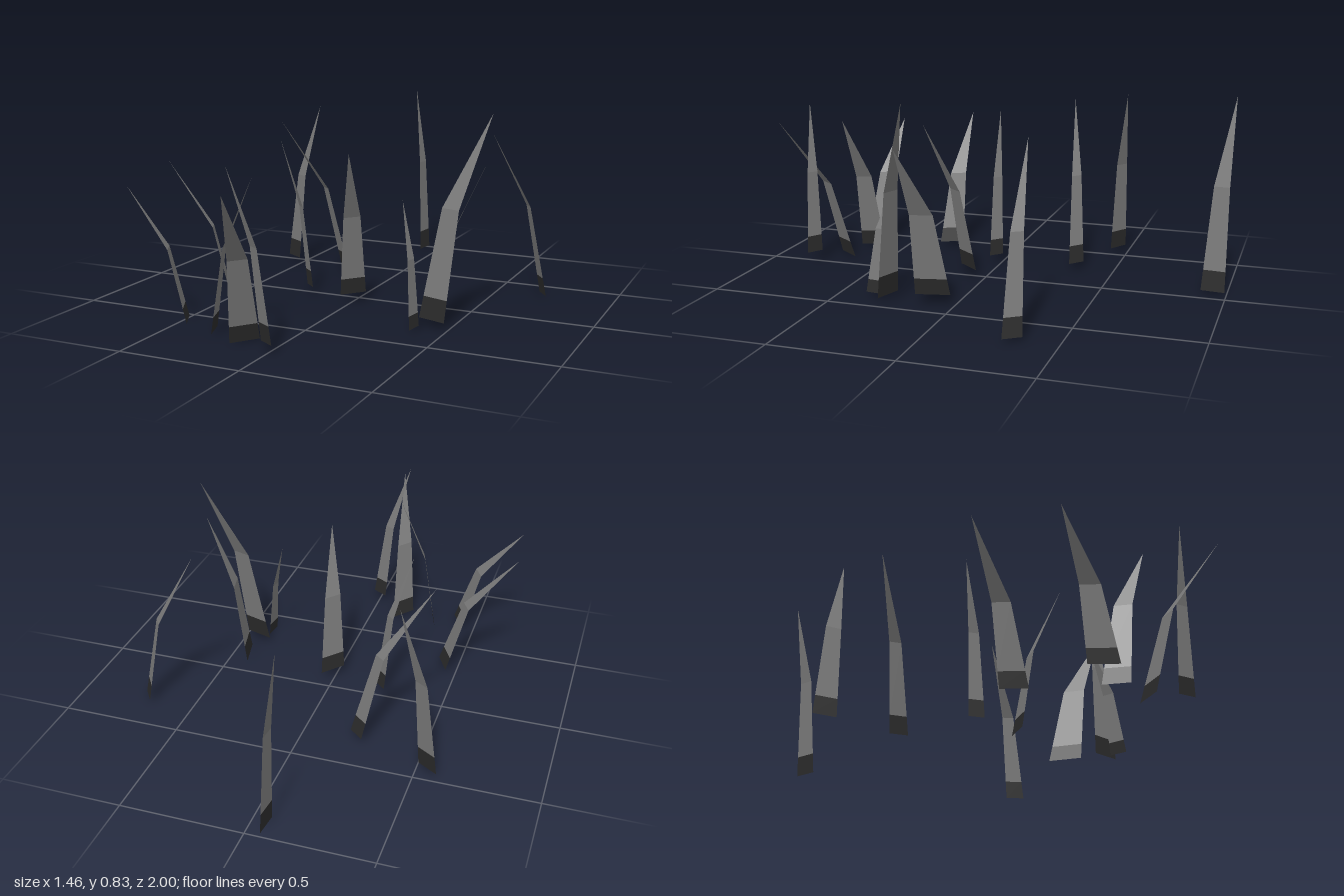
import * as THREE from 'three';

// Each blade: base edge ends (x, z), ground height, then tip (x, y, z)
const BLADES = [
  [-0.07, -0.895, -0.06, -0.992, 0.01, -0.14, 0.80, -1.0],
  [-0.59, -0.485, -0.507, -0.433, 0.025, -0.43, 0.745, -0.508],
  [-0.253, -0.365, -0.194, -0.315, 0.03, -0.505, 0.705, -0.257],
  [0.685, -0.36, 0.73, -0.295, 0.015, 0.468, 0.705, -0.315],
  [-0.245, 0.0, -0.196, 0.045, 0.035, -0.345, 0.665, 0.043],
  [-0.03, 0.12, 0.045, 0.03, 0.04, 0.07, 0.655, 0.253],
  [-0.035, 0.783, 0.03, 0.823, 0.04, -0.12, 0.69, 0.865],
  [0.39, 0.02, 0.42, 0.157, 0.04, 0.613, 0.655, 0.16],
  [0.37, 0.25, 0.487, 0.288, 0.03, 0.615, 0.827, 0.125],
  [0.392, 0.307, 0.382, 0.383, 0.015, 0.305, 0.495, 0.268],
  [-0.457, 0.26, -0.407, 0.355, 0.015, -0.733, 0.583, 0.303],
  [-0.452, 0.61, -0.397, 0.714, 0.035, -0.70, 0.54, 0.648],
  [-0.328, 0.605, -0.295, 0.705, 0.005, -0.107, 0.62, 0.704],
  [-0.185, 0.755, -0.11, 0.658, 0.0, -0.06, 0.608, 0.995],
];

const BEND_HEIGHT = 0.545; // bend point along the blade's height
const BEND_LEAN = 0.3;     // share of the lean reached at the bend
const BEND_WIDTH = 0.66;   // width left at the bend
const ROOT_SHARE = 0.2;    // dark part of the lower segment

function triangles(points, material, name) {
  const geometry = new THREE.BufferGeometry().setFromPoints(points);
  geometry.computeVertexNormals();
  const mesh = new THREE.Mesh(geometry, material);
  mesh.name = name;
  return mesh;
}

export function createModel() {
  const grey = new THREE.MeshStandardMaterial({ color: 0x7a7a7a, side: THREE.DoubleSide });
  grey.name = 'ash grey';
  const dark = new THREE.MeshStandardMaterial({ color: 0x2a2a2a, side: THREE.DoubleSide });
  dark.name = 'charcoal';

  const model = new THREE.Group();
  model.name = 'grassBlades';

  for (const [x1, z1, x2, z2, y, tx, ty, tz] of BLADES) {
    const a = new THREE.Vector3(x1, y, z1);
    const b = new THREE.Vector3(x2, y, z2);
    const tip = new THREE.Vector3(tx, ty, tz);

    // Bend edge, parallel to the base edge
    const centre = a.clone().add(b).multiplyScalar(0.5);
    const half = b.clone().sub(a).multiplyScalar(0.5 * BEND_WIDTH);
    const bend = centre.clone().lerp(tip, BEND_LEAN);
    bend.y = y + (ty - y) * BEND_HEIGHT;
    const c = bend.clone().sub(half);
    const d = bend.clone().add(half);

    // Edge where the dark root ends
    const e = a.clone().lerp(c, ROOT_SHARE);
    const f = b.clone().lerp(d, ROOT_SHARE);

    const blade = new THREE.Group();
    blade.name = 'blade';
    blade.add(
      triangles([a, b, f, a, f, e], dark, 'bladeRoot'),
      triangles([e, f, d, e, d, c], grey, 'bladeStem'),
      triangles([c, d, tip], grey, 'bladeTip'),
    );
    model.add(blade);
  }
  return model;
}
